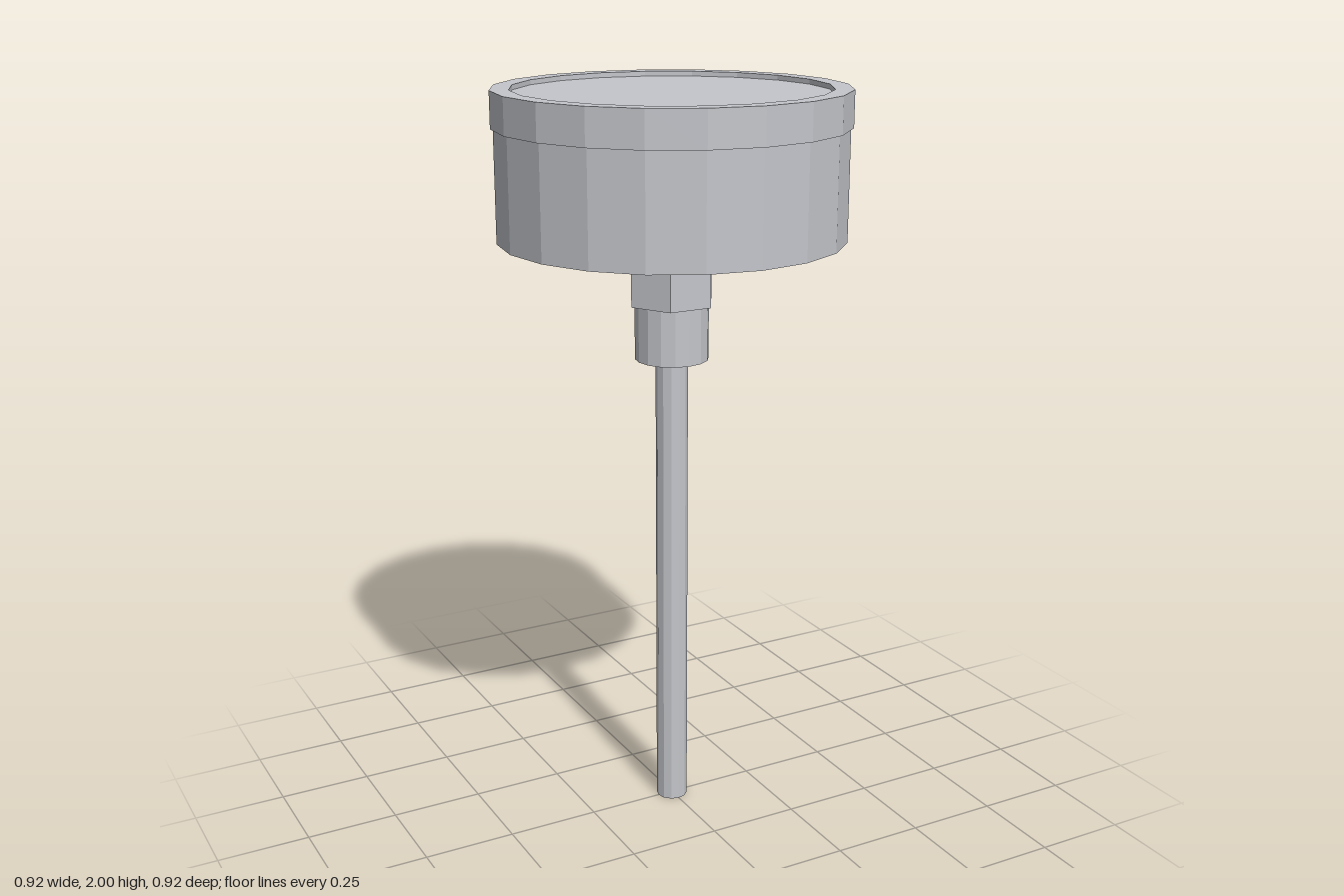
import * as THREE from 'three';

export function createModel() {
  const group = new THREE.Group();
  const steel = new THREE.MeshStandardMaterial({ color: 0xc4c6cb, flatShading: true });
  steel.name = 'brushed steel';

  const add = (name, geometry, y = 0) => {
    const mesh = new THREE.Mesh(geometry, steel);
    mesh.name = name;
    mesh.position.y = y;
    group.add(mesh);
    return mesh;
  };
  // Upright prism between two heights
  const prism = (name, radius, y0, y1, sides) =>
    add(name, new THREE.CylinderGeometry(radius, radius, y1 - y0, sides), (y0 + y1) / 2);

  // Probe and fitting, from the tip up
  prism('probeStem', 0.043, 0, 1.295, 12);
  prism('threadedSleeve', 0.098, 1.295, 1.445, 16);
  prism('hexNut', 0.119, 1.445, 1.572, 6).rotation.y = Math.PI / 6;
  prism('neck', 0.088, 1.572, 1.615, 16);

  // Dial housing, with the face set slightly below the rim
  prism('dialHousing', 0.453, 1.615, 1.905, 20);
  prism('dialFace', 0.411, 1.905, 1.987, 20);

  // Rim ring around the face
  const rim = [[0.411, 1.905], [0.46, 1.905], [0.46, 2], [0.411, 2], [0.411, 1.987]];
  add('bezel', new THREE.LatheGeometry(rim.map(([x, y]) => new THREE.Vector2(x, y)), 20));

  return group;
}
